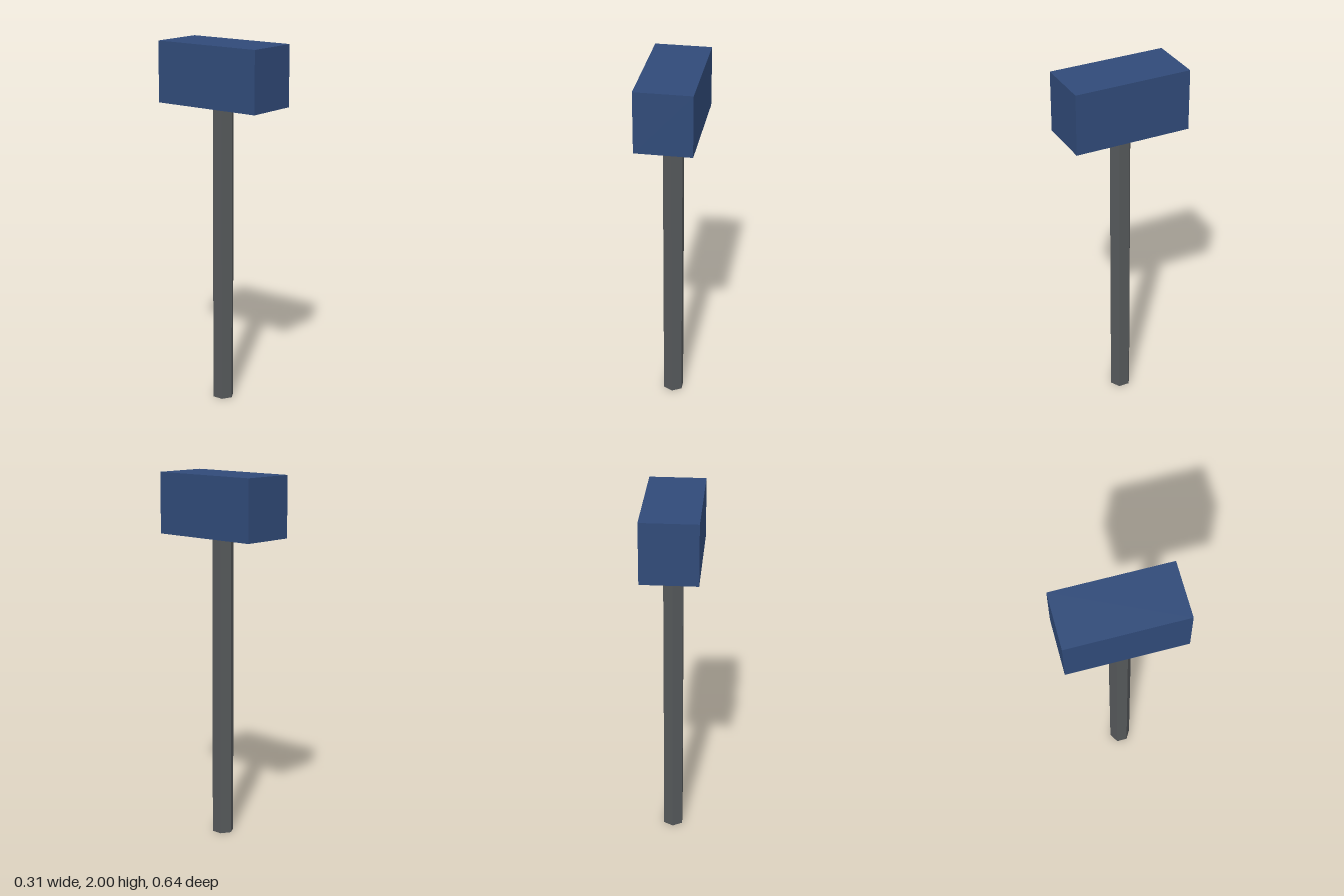
import * as THREE from 'three';

export function createModel() {
  const group = new THREE.Group();
  const addPart = (name, geometry, color, y) => {
    const mesh = new THREE.Mesh(geometry, new THREE.MeshStandardMaterial({ color, flatShading: true }));
    mesh.name = name;
    mesh.position.y = y;
    group.add(mesh);
  };

  const headHeight = 0.333;
  const handleHeight = 2 - headHeight;

  // Six-sided handle, corners facing front and back
  addPart('handle', new THREE.CylinderGeometry(0.06, 0.06, handleHeight, 6), 0x55585a, handleHeight / 2);

  // Block head, long from front to back
  addPart('head', new THREE.BoxGeometry(0.305, headHeight, 0.64), 0x304a78, 2 - headHeight / 2);

  return group;
}
